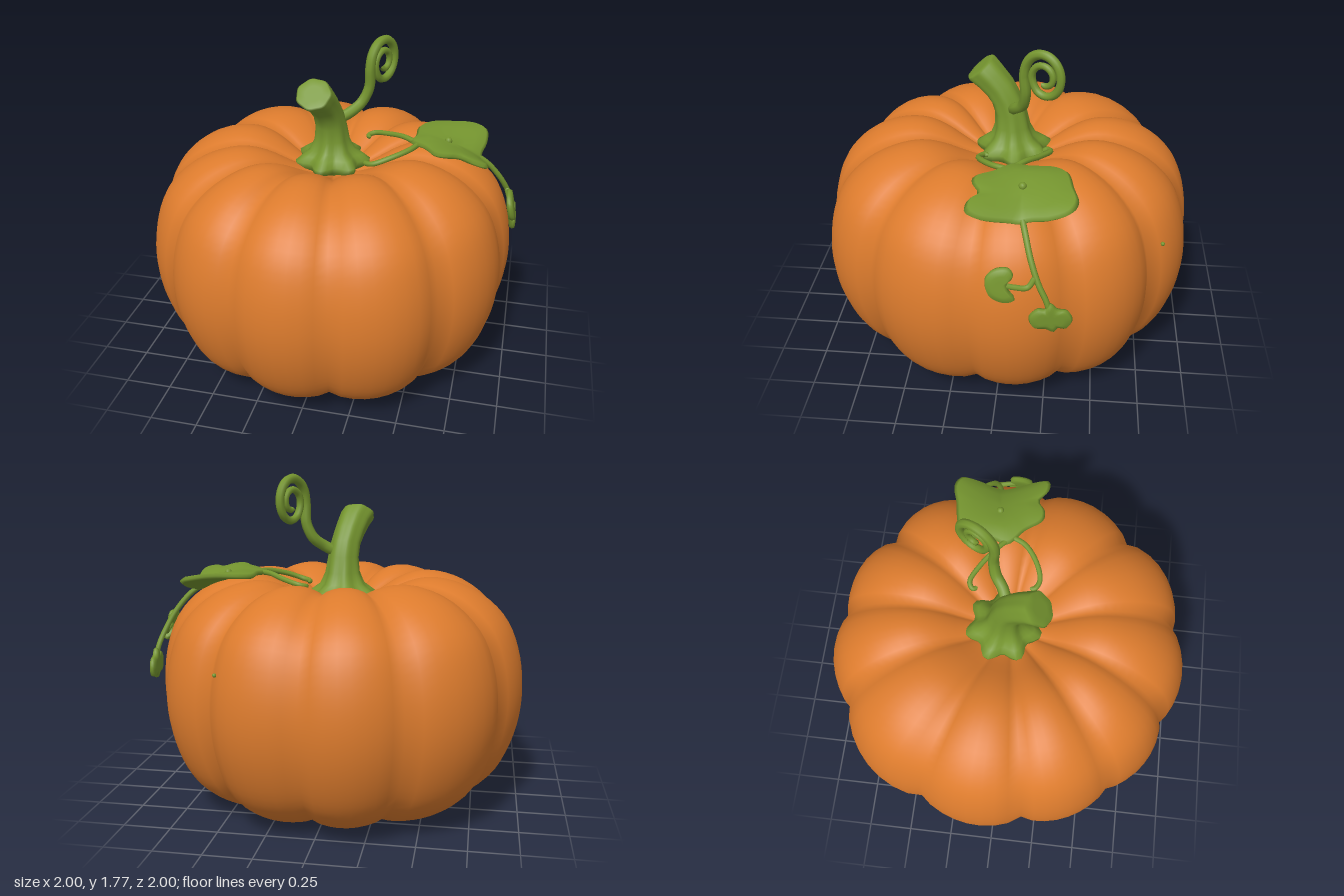
import * as THREE from 'three';
import { mergeVertices } from 'three/addons/utils/BufferGeometryUtils.js';

const orange = new THREE.MeshStandardMaterial({ color: 0xdc7b2d });
orange.name = 'pumpkin orange';
const green = new THREE.MeshStandardMaterial({ color: 0x75952f });
green.name = 'vine green';

const lerp = THREE.MathUtils.lerp;
const V = (p) => new THREE.Vector3(...p);

function add(group, name, geometry, material) {
  const mesh = new THREE.Mesh(geometry, material);
  mesh.name = name;
  group.add(mesh);
  return mesh;
}

// Skin closed rings of points, listed from bottom to top
function loft(rows, cols, point) {
  const pos = [], idx = [];
  for (let i = 0; i < rows; i++) {
    for (let j = 0; j < cols; j++) pos.push(...point(i, j));
  }
  for (let i = 0; i < rows - 1; i++) {
    for (let j = 0; j < cols; j++) {
      const a = i * cols + j, b = i * cols + (j + 1) % cols;
      idx.push(a, a + cols, b, b, a + cols, b + cols);
    }
  }
  const g = new THREE.BufferGeometry();
  g.setAttribute('position', new THREE.Float32BufferAttribute(pos, 3));
  g.setIndex(idx);
  const merged = mergeVertices(g, 1e-5);
  merged.computeVertexNormals();
  return merged;
}

// Tube along points, tapering from r0 to r1 with rounded, closed ends
function vine(points, r0, r1, segments = 40) {
  const curve = new THREE.CatmullRomCurve3(points.map(V));
  const g = new THREE.TubeGeometry(curve, segments, 1, 8, false);
  const pos = g.attributes.position, p = new THREE.Vector3();
  for (let i = 0; i <= segments; i++) {
    const t = i / segments, c = curve.getPointAt(t);
    const end = Math.min(i, segments - i);
    const r = lerp(r0, r1, t) * (end === 0 ? 0.02 : end === 1 ? 0.85 : 1);
    for (let j = 0; j <= 8; j++) {
      const k = i * 9 + j;
      p.fromBufferAttribute(pos, k).sub(c).multiplyScalar(r).add(c);
      pos.setXYZ(k, p.x, p.y, p.z);
    }
  }
  return g;
}

// Rounded plate with a smooth outline; place(a, b, h) sets it in space
function leafPlate(outline, thickness, samples, place) {
  const pts = outline.map(([a, b]) => new THREE.Vector3(a, b, 0));
  const edge = new THREE.CatmullRomCurve3(pts, true).getSpacedPoints(samples).slice(0, samples);
  const mid = new THREE.Vector3();
  edge.forEach((p) => mid.addScaledVector(p, 1 / samples));
  const rows = [[0, -0.5], [0.3, -0.5], [0.6, -0.5], [0.93, -0.4], [1, 0],
    [0.93, 0.4], [0.6, 0.5], [0.3, 0.5], [0, 0.5]];
  return loft(rows.length, samples, (i, j) => {
    const [s, h] = rows[i];
    return place(lerp(mid.x, edge[j].x, s), lerp(mid.y, edge[j].y, s), h * thickness);
  });
}

// Eleven uneven ribs: groove angle, groove radius, rib radius
const ribs = [
  [7.4, 0.93, 0.99], [44, 0.93, 1.01], [79, 0.945, 1.0], [110.5, 0.94, 1.0],
  [139, 0.955, 1.0], [169.6, 0.945, 1.01], [204.4, 0.96, 1.035], [242.4, 0.965, 1.015],
  [272.4, 0.955, 1.0], [304.4, 0.92, 0.99], [336, 0.93, 0.98],
];

function pumpkinBody() {
  const profile = new THREE.CatmullRomCurve3([
    [0, 0.12], [0.2, 0.1], [0.35, 0.035], [0.48, 0.005], [0.62, 0.02], [0.76, 0.085],
    [0.88, 0.2], [0.965, 0.39], [1, 0.61], [0.975, 0.84], [0.9, 1.02], [0.76, 1.15],
    [0.6, 1.215], [0.47, 1.225], [0.35, 1.19], [0.24, 1.13], [0.15, 1.085], [0, 1.06],
  ].map(([r, y]) => new THREE.Vector3(r, y, 0)));
  const rows = 56, per = 8;
  const rings = profile.getSpacedPoints(rows - 1);
  return loft(rows, ribs.length * per, (i, j) => {
    const k = Math.floor(j / per), t = (j % per) / per;
    const [a0, groove, peak] = ribs[k];
    const [a1, nextGroove] = ribs[(k + 1) % ribs.length];
    const angle = THREE.MathUtils.degToRad(a0 + (a1 - a0 + (a1 < a0 ? 360 : 0)) * t);
    const swell = Math.pow(Math.sin(Math.PI * t), 0.7);
    const R = lerp(lerp(groove, nextGroove, t), peak, swell);
    const { x: r, y } = rings[i];
    const fade = Math.min(1, r / 0.3);
    const dip = (y > 0.62 ? 0.08 : 0.04) * (1 - swell) * fade;
    return [r * R * Math.cos(angle), 0.62 + (y - 0.62) * (1 - dip), r * R * Math.sin(angle)];
  });
}

function stemGeometry() {
  // centre x, y, z, radius, forward tilt in degrees, lobe depth
  const rows = [
    [-0.02, 1.05, -0.03, 0.13, 0, 0.12], [-0.02, 1.09, -0.03, 0.18, 0, 0.14],
    [-0.02, 1.12, -0.03, 0.183, 0, 0.14], [-0.02, 1.15, -0.03, 0.15, 0, 0.12],
    [-0.02, 1.18, -0.025, 0.115, 0, 0.08], [-0.02, 1.24, -0.02, 0.092, 0, 0.05],
    [-0.022, 1.32, -0.01, 0.083, 6, 0.03], [-0.03, 1.39, 0.015, 0.08, 18, 0.03],
    [-0.045, 1.45, 0.055, 0.082, 30, 0.03], [-0.06, 1.5, 0.105, 0.086, 38, 0.03],
    [-0.075, 1.538, 0.15, 0.092, 42, 0.03], [-0.075, 1.545, 0.157, 0.084, 42, 0.03],
    [-0.075, 1.545, 0.157, 0.045, 42, 0], [-0.075, 1.545, 0.157, 0, 42, 0],
  ];
  return loft(rows.length, 42, (i, j) => {
    const [x, y, z, radius, deg, lobe] = rows[i];
    const a = (j / 42) * Math.PI * 2, tilt = THREE.MathUtils.degToRad(deg);
    const r = radius * (1 + lobe * Math.cos(7 * a + 0.6));
    const s = r * Math.sin(a);
    return [x + r * Math.cos(a), y - s * Math.sin(tilt), z + s * Math.cos(tilt)];
  });
}

// Curl rising from the stem and winding inward
function curlPoints() {
  const pts = [[0.02, 1.35, -0.02], [0.08, 1.385, -0.045], [0.13, 1.43, -0.085], [0.165, 1.51, -0.1]];
  for (let i = 0; i <= 24; i++) {
    const t = i / 24, a = Math.PI * (1.02 - 3.7 * t), r = lerp(0.102, 0.03, t);
    const z = -0.195 - r * Math.cos(a);
    pts.push([0.22 - 0.52 * (z + 0.19), 1.625 + r * 1.25 * Math.sin(a) * (t < 0.5 ? 1.05 : 0.95), z]);
  }
  return pts;
}

export function createModel() {
  const model = new THREE.Group();
  model.name = 'pumpkin';

  add(model, 'body', pumpkinBody(), orange);
  add(model, 'stem', stemGeometry(), green);
  add(model, 'curledTendril', vine(curlPoints(), 0.031, 0.016, 110), green);

  // Large leaf, folded down toward its outer tip
  const leafY = (x, z) => 1.25 - 0.6 * (x - 0.57) ** 2
    - 0.09 * Math.max(0, (x - 0.48) / 0.32) * Math.max(0, 1 - Math.abs(z + 0.12) / 0.24);
  const leafOutline = [
    [0.42, -0.27], [0.47, -0.33], [0.62, -0.365], [0.73, -0.39], [0.79, -0.36], [0.8, -0.27],
    [0.78, -0.16], [0.79, -0.08], [0.83, 0.08], [0.82, 0.13], [0.75, 0.13], [0.68, 0.085],
    [0.62, 0.12], [0.56, 0.12], [0.49, 0.03], [0.4, -0.06], [0.42, -0.14],
  ];
  add(model, 'leaf', leafPlate(leafOutline, 0.036, 64,
    (x, z, h) => [x, leafY(x, z) + h, z]), green);
  const knob = new THREE.SphereGeometry(0.02, 12, 8);
  add(model, 'leafKnob', knob, green).position.set(0.6, leafY(0.6, -0.12) + 0.02, -0.12);

  // Runners lying on the pumpkin and hanging down its side
  const runners = {
    backRunner: [[0.43, 1.235, -0.06], [0.36, 1.235, -0.12], [0.27, 1.215, -0.19],
      [0.18, 1.195, -0.235], [0.145, 1.185, -0.215], [0.16, 1.18, -0.19]],
    frontRunner: [[0.45, 1.235, -0.04], [0.41, 1.23, 0.04], [0.32, 1.205, 0.11],
      [0.235, 1.175, 0.135], [0.19, 1.165, 0.11], [0.195, 1.16, 0.085]],
    hangingRunner: [[0.76, 1.16, -0.13], [0.82, 1.11, -0.15], [0.89, 1.02, -0.18],
      [0.94, 0.92, -0.22], [0.965, 0.84, -0.26], [0.975, 0.77, -0.28]],
    sideRunner: [[0.93, 0.95, -0.205], [0.95, 0.905, -0.17], [0.96, 0.91, -0.11], [0.965, 0.925, -0.05]],
  };
  for (const [name, pts] of Object.entries(runners)) add(model, name, vine(pts, 0.015, 0.014), green);

  // Two small leaflets, outlined in z and y
  add(model, 'roundLeaflet', leafPlate([
    [0.025, 0.955], [-0.02, 1.0], [-0.085, 1.005], [-0.105, 0.97], [-0.078, 0.935],
    [-0.085, 0.89], [-0.115, 0.85], [-0.06, 0.835], [0.01, 0.87],
  ], 0.036, 36, (z, y, h) => [0.962 - 0.2 * (y - 0.92) + h, y, z]), green);
  add(model, 'lobedLeaflet', leafPlate([
    [-0.18, 0.765], [-0.22, 0.805], [-0.25, 0.8], [-0.28, 0.835], [-0.315, 0.8], [-0.36, 0.79],
    [-0.385, 0.74], [-0.36, 0.69], [-0.32, 0.695], [-0.3, 0.67], [-0.26, 0.69], [-0.2, 0.7],
  ], 0.034, 40, (z, y, h) => [0.972 + 0.12 * (z + 0.28) + h, y, z]), green);

  // Tiny specks on the back
  for (const [x, y, z] of [[0.465, 0.845, -0.825], [0.4, 0.825, -0.865]]) {
    add(model, 'speck', new THREE.SphereGeometry(0.011, 8, 6), green).position.set(x, y, z);
  }
  return model;
}
